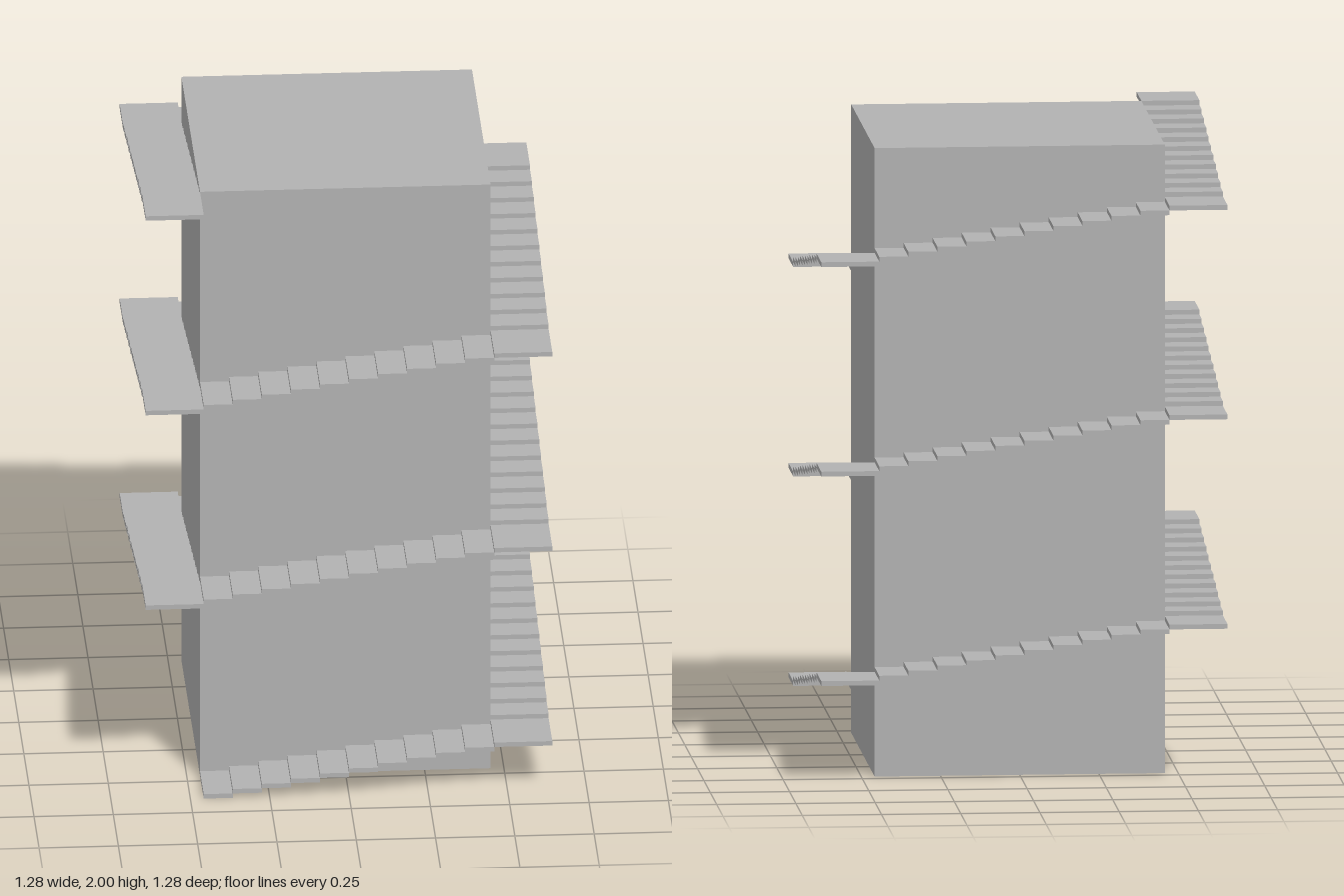
import * as THREE from 'three';

export function createModel() {
  const model = new THREE.Group();
  model.name = 'towerWithStairs';
  const stone = new THREE.MeshStandardMaterial({ color: 0xb2b2b2 });
  stone.name = 'grey stone';

  const height = 2;
  const half = 0.458; // half width of the tower
  const depth = 0.183; // how far the stairs stick out
  const flights = 12; // three turns of four sides
  const treads = 10; // narrow steps per side, then one square corner landing
  const rise = height / (flights * (treads + 1));
  const tread = (2 * half) / treads;

  const tower = new THREE.Mesh(new THREE.BoxGeometry(2 * half, height, 2 * half), stone);
  tower.name = 'tower';
  tower.position.y = height / 2;
  model.add(tower);

  const stepGeometry = new THREE.BoxGeometry(tread, rise, depth);
  const landingGeometry = new THREE.BoxGeometry(depth, rise, depth);

  // Each flight climbs one side; a quarter turn leads to the next
  for (let f = 0; f < flights; f++) {
    const flight = new THREE.Group();
    flight.name = `flight${f + 1}`;
    flight.rotation.y = (f % 4) * Math.PI / 2;
    flight.position.y = f * (treads + 1) * rise;
    for (let i = 0; i <= treads; i++) {
      const corner = i === treads;
      const step = new THREE.Mesh(corner ? landingGeometry : stepGeometry, stone);
      step.name = corner ? 'cornerLanding' : `step${i + 1}`;
      const x = corner ? half + depth / 2 : -half + (i + 0.5) * tread;
      step.position.set(x, (i + 0.5) * rise, half + depth / 2);
      flight.add(step);
    }
    model.add(flight);
  }
  return model;
}
